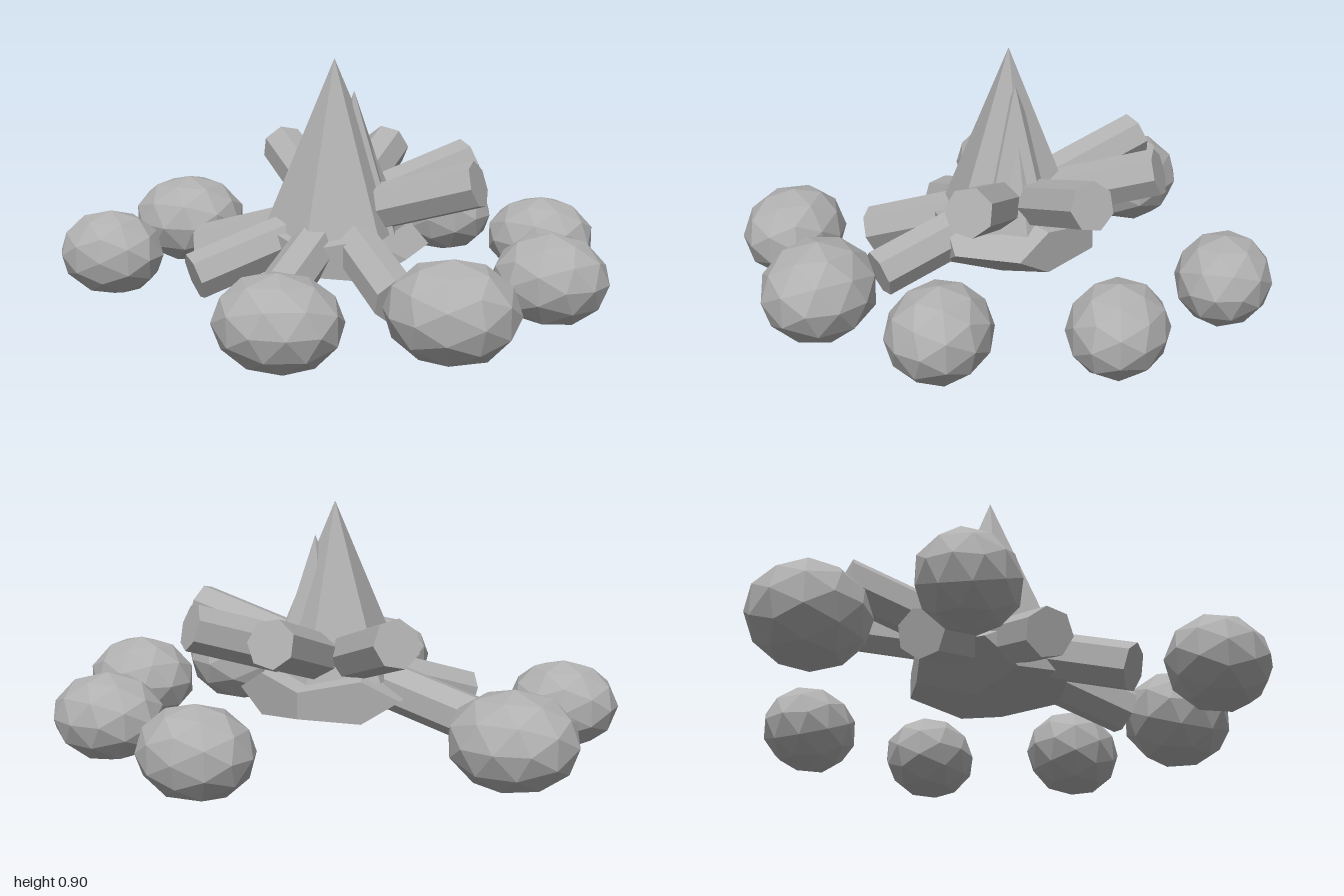
import * as THREE from 'three';

export function createModel() {
  const model = new THREE.Group();
  const grey = new THREE.MeshStandardMaterial({ color: 0xb0b0b0, flatShading: true });
  grey.name = 'stone grey';

  const add = (name, geometry, x, y, z) => {
    const mesh = new THREE.Mesh(geometry, grey);
    mesh.name = name;
    mesh.position.set(x, y, z);
    model.add(mesh);
    return mesh;
  };

  // Centre of the fire
  const cx = -0.02, cz = -0.01;

  // Ring of faceted stones: x, y, z, then half sizes
  const stones = [
    [0.125, 0.17, -0.81, 0.203, 0.16, 0.17],
    [0.61, 0.175, -0.535, 0.206, 0.157, 0.17],
    [0.79, 0.177, 0.01, 0.207, 0.163, 0.177],
    [0.595, 0.18, 0.50, 0.228, 0.175, 0.2],
    [0.115, 0.173, 0.79, 0.22, 0.163, 0.185],
    [-0.8, 0.172, 0.265, 0.2, 0.158, 0.165],
    [-0.775, 0.173, -0.3, 0.226, 0.173, 0.2],
  ];
  stones.forEach(([x, y, z, rx, ry, rz], i) => {
    const stone = new THREE.IcosahedronGeometry(1, 1);
    stone.rotateY(i * 1.3);
    stone.scale(rx, ry, rz);
    add('stone', stone, x, y, z);
  });

  // Four slanted logs crossing at the middle
  for (let i = 0; i < 4; i++) {
    const log = new THREE.CylinderGeometry(0.086, 0.086, 1.13, 7);
    log.rotateZ(0.3 - Math.PI / 2);
    log.rotateY(i * Math.PI / 4);
    add('log', log, cx, 0.317, cz);
  }

  // Flattened heap of embers under the logs
  const embers = new THREE.DodecahedronGeometry(0.33, 0);
  embers.scale(1, 0.4, 1);
  add('embers', embers, cx + 0.01, 0.22, cz);

  // Tall flame with a smaller one behind it
  const flame = (name, r, h, sides, x, y, z) =>
    add(name, new THREE.ConeGeometry(r, h, sides), x, y + h / 2, z);
  flame('mainFlame', 0.26, 0.62, 6, -0.02, 0.28, 0);
  flame('sideFlame', 0.19, 0.5, 5, 0.04, 0.28, -0.04);

  return model;
}
